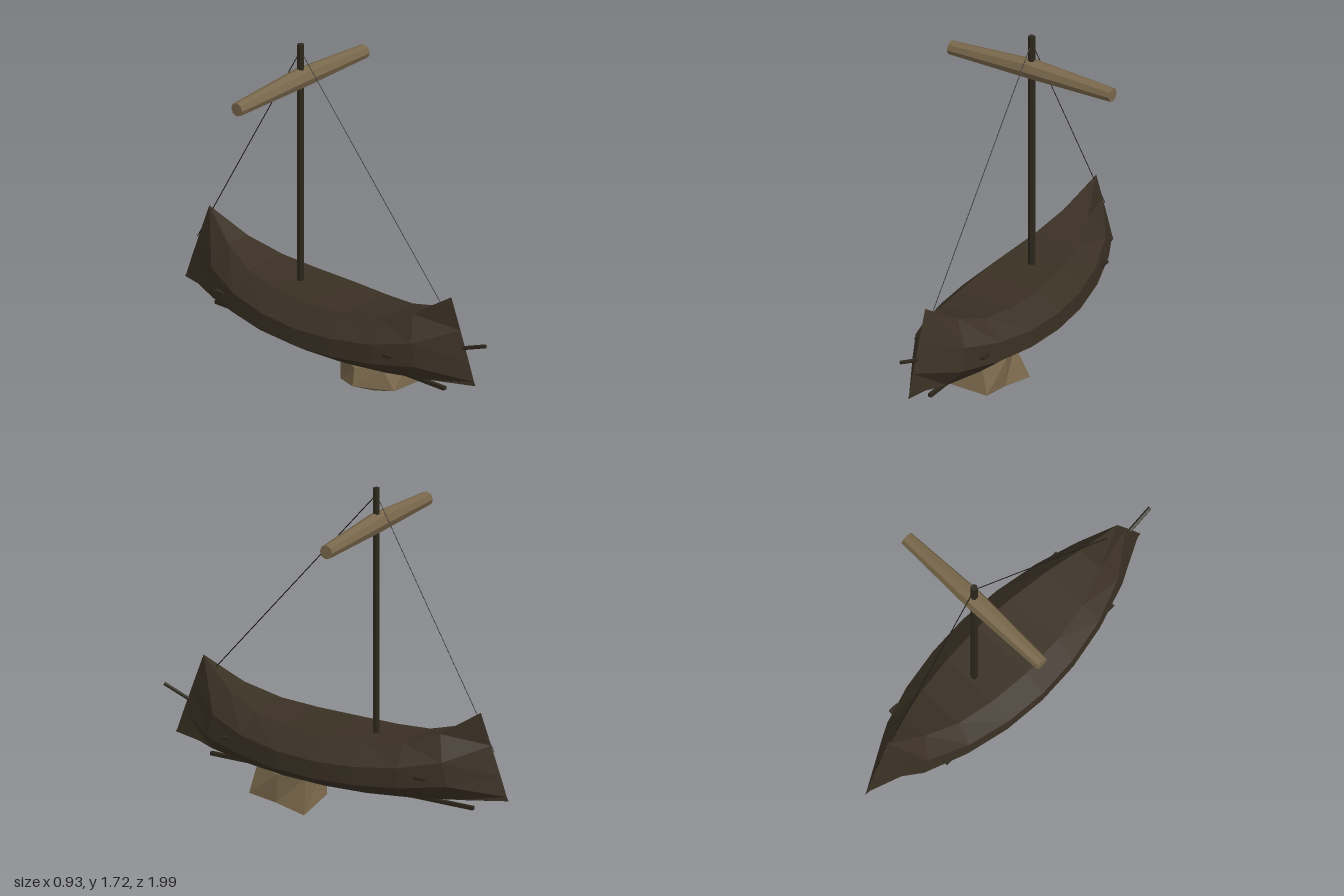
import * as THREE from 'three';

const material = (name, color) => {
  const m = new THREE.MeshStandardMaterial({ color, flatShading: true });
  m.name = name;
  return m;
};

export function createModel() {
  const model = new THREE.Group();
  model.name = 'sailingBoat';
  const hullWood = material('hullWood', 0x3a3024);
  const mastWood = material('mastWood', 0x2d271c);
  const canvas = material('canvas', 0x78674b);
  const rope = material('rope', 0x1c1915);

  const add = (name, geometry, mat) => {
    const mesh = new THREE.Mesh(geometry, mat);
    mesh.name = name;
    model.add(mesh);
    return mesh;
  };
  const fromTriangles = (points) => {
    const g = new THREE.BufferGeometry().setFromPoints(points);
    g.computeVertexNormals();
    return g;
  };
  // Straight round bar between two points
  const bar = (name, a, b, radius, sides, mat) => {
    const start = new THREE.Vector3(...a), end = new THREE.Vector3(...b);
    const dir = end.clone().sub(start);
    const mesh = add(name, new THREE.CylinderGeometry(radius, radius, dir.length(), sides), mat);
    mesh.position.copy(start).add(end).multiplyScalar(0.5);
    mesh.quaternion.setFromUnitVectors(new THREE.Vector3(0, 1, 0), dir.normalize());
  };

  // Hull: lengthwise lines from midship to the end, mirrored fore and aft
  const lines = [
    { x: [0.17, 0.155, 0.125, 0.07, 0], y: [0.44, 0.447, 0.47, 0.535, 0.66], z: [0, 0.23, 0.43, 0.61, 0.8] },
    { x: [0.275, 0.26, 0.215, 0.14, 0], y: [0.34, 0.347, 0.37, 0.415, 0.5], z: [0, 0.22, 0.45, 0.66, 0.86] },
    { x: [0.275, 0.26, 0.215, 0.14, 0], y: [0.25, 0.254, 0.268, 0.295, 0.35], z: [0, 0.23, 0.46, 0.69, 0.915] },
    { x: [0.165, 0.155, 0.12, 0.07, 0], y: [0.18, 0.184, 0.194, 0.212, 0.25], z: [0, 0.24, 0.475, 0.71, 0.95] },
    { x: [0, 0, 0, 0, 0], y: [0.157, 0.16, 0.17, 0.19, 0.23], z: [0, 0.24, 0.48, 0.72, 0.96] },
  ];
  const centreZ = -0.03;
  const stations = [];
  for (let s = -4; s <= 4; s++) {
    const k = Math.abs(s);
    const side = (l, sign) => new THREE.Vector3(sign * l.x[k], l.y[k], centreZ + Math.sign(s) * l.z[k]);
    stations.push([
      ...lines.map((l) => side(l, 1)),
      ...lines.slice(0, 4).reverse().map((l) => side(l, -1)),
    ]);
  }
  const hull = [];
  for (let s = 0; s < 8; s++) {
    for (let j = 0; j < 9; j++) {
      const n = (j + 1) % 9;
      const a = stations[s][j], b = stations[s][n], c = stations[s + 1][j], d = stations[s + 1][n];
      hull.push(a, c, b, b, c, d);
    }
  }
  add('hull', fromTriangles(hull), hullWood);

  // Keel plank and the two cross beams whose ends pass through the sides
  add('keel', new THREE.BoxGeometry(0.02, 0.018, 1.515), mastWood).position.set(0, 0.156, centreZ);
  for (const z of [0.518, -0.592]) {
    add('crossBeam', new THREE.BoxGeometry(0.4, 0.012, 0.055), mastWood).position.set(0, 0.33, z);
  }

  // Mast, bowsprit and stays
  bar('mast', [0, 0.2, -0.227], [0, 1.715, -0.227], 0.018, 6, mastWood);
  bar('bowsprit', [0, 0.4, 0.82], [0, 0.466, 0.995], 0.01, 6, mastWood);
  bar('frontStay', [0, 1.68, -0.227], [0, 0.44, 0.845], 0.0025, 4, rope);
  bar('backStay', [0, 1.68, -0.227], [0, 0.47, -0.908], 0.0025, 4, rope);

  // Furled sail: thick in the middle, flat along the underside
  const sailProfile = [[0, -0.465], [0.036, -0.465], [0.052, 0], [0.036, 0.465], [0, 0.465]]
    .map(([r, y]) => new THREE.Vector2(r, y));
  const sail = new THREE.LatheGeometry(sailProfile, 8).rotateZ(Math.PI / 2);
  const p = sail.attributes.position;
  for (let i = 0; i < p.count; i++) {
    p.setY(i, p.getY(i) - 0.014 * Math.abs(p.getX(i)) / 0.465);
  }
  add('furledSail', sail, canvas).position.set(0, 1.534, -0.227);

  // Faceted block under the hull
  const v = (a) => new THREE.Vector3(...a);
  const low = [[-0.18, 0.09, 0.28], [-0.07, 0.08, 0.455], [0.14, 0.05, 0.42],
    [0.145, 0.03, 0.26], [0.178, 0.008, 0.08], [-0.07, 0.04, 0.1]].map(v);
  const high = [[-0.155, 0.18, 0.27], [-0.09, 0.185, 0.4], [0.1, 0.185, 0.4],
    [0.15, 0.18, 0.25], [0.11, 0.18, 0.11], [-0.1, 0.18, 0.13]].map(v);
  const bottom = v([0, 0, 0.26]), top = v([0, 0.185, 0.26]);
  const block = [];
  low.forEach((a, i) => {
    const n = (i + 1) % low.length;
    block.push(a, low[n], high[n], a, high[n], high[i], bottom, low[n], a, top, high[i], high[n]);
  });
  add('underBlock', fromTriangles(block), canvas);

  return model;
}
